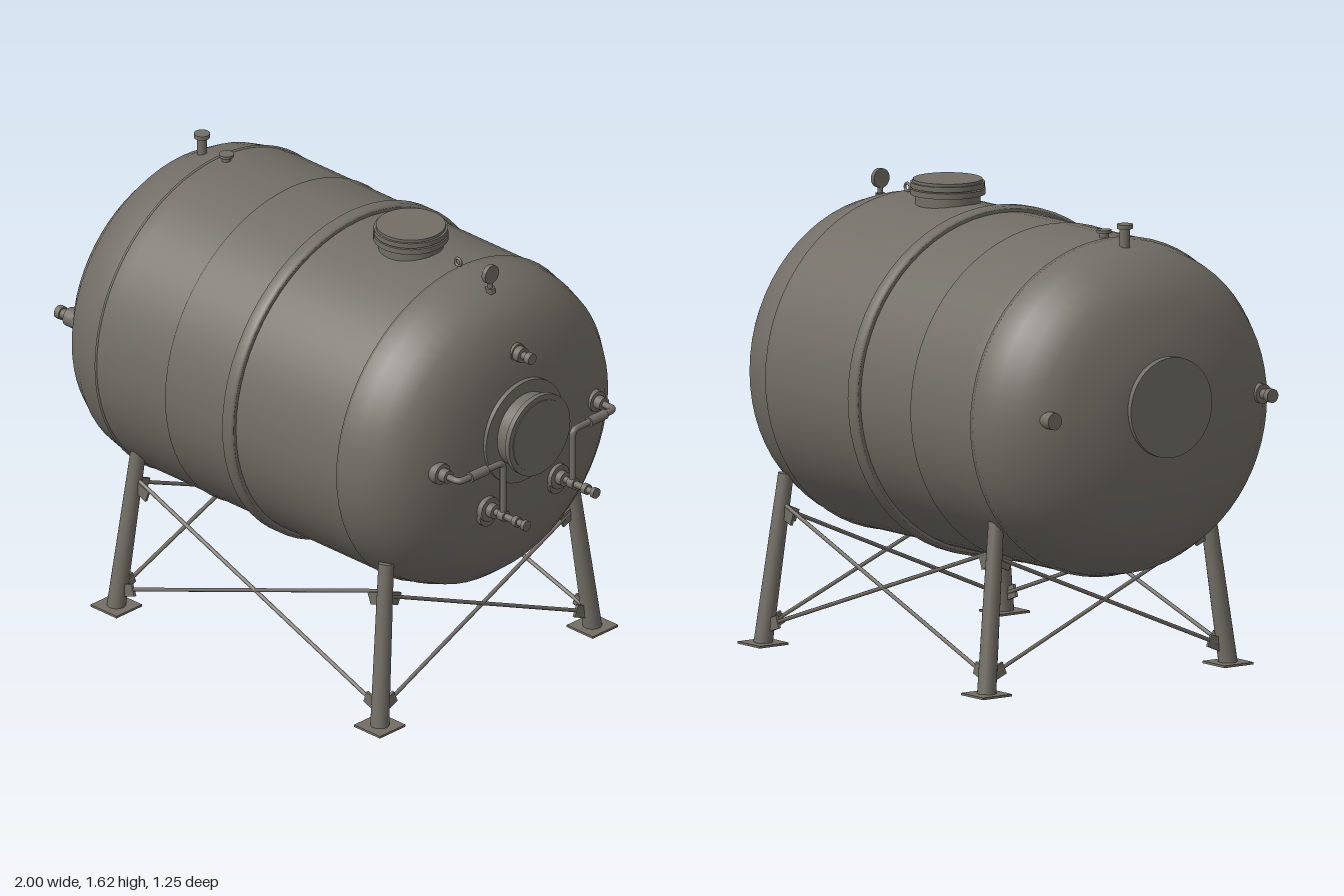
import * as THREE from 'three';

const steel = new THREE.MeshStandardMaterial({ color: 0x726e66 });
steel.name = 'weathered steel';

const V = (x, y, z) => new THREE.Vector3(x, y, z);
const AXIS_Y = 0.955;

export function createModel() {
  const root = new THREE.Group();
  root.name = 'storageTank';

  const add = (name, geometry, parent = root) => {
    const mesh = new THREE.Mesh(geometry, steel);
    mesh.name = name;
    parent.add(mesh);
    return mesh;
  };

  // Round bar between two points
  const bar = (name, a, b, r0, r1 = r0, sides = 16, parent = root) => {
    const dir = b.clone().sub(a);
    const mesh = add(name, new THREE.CylinderGeometry(r1, r0, dir.length(), sides), parent);
    mesh.position.copy(a).add(b).multiplyScalar(0.5);
    mesh.quaternion.setFromUnitVectors(V(0, 1, 0), dir.normalize());
    return mesh;
  };

  // Row of [start, end, radius] discs along x or y, for ports and flanges
  const stack = (name, axis, origin, steps, sides = 20) => {
    const group = new THREE.Group();
    group.name = name;
    steps.forEach(([s, e, r], i) => {
      bar(`${name}Section${i + 1}`, origin.clone().addScaledVector(axis, s),
        origin.clone().addScaledVector(axis, e), r, r, sides, group);
    });
    root.add(group);
  };

  // Surface of revolution about the tank's long axis, slightly squashed in y
  const turned = (name, points) => {
    const geo = new THREE.LatheGeometry(points.map(([x, r]) => new THREE.Vector2(r, x)), 64);
    geo.rotateZ(-Math.PI / 2).scale(1, 0.975, 1);
    add(name, geo).position.y = AXIS_Y;
  };

  // Tank shell with domed ends
  turned('tankShell', [
    [-0.985, 0], [-0.985, 0.17], [-0.965, 0.28], [-0.93, 0.40], [-0.89, 0.475],
    [-0.83, 0.54], [-0.76, 0.58], [-0.68, 0.598], [-0.60, 0.602], [0, 0.602], [0.50, 0.602],
    [0.58, 0.59], [0.65, 0.567], [0.71, 0.52], [0.75, 0.465], [0.78, 0.39],
    [0.80, 0.30], [0.813, 0.17], [0.818, 0],
  ]);

  // Centre hoop and fine weld seams
  turned('centreHoop', [[-0.028, 0.59], [-0.028, 0.614], [-0.028, 0.614], [-0.022, 0.624],
    [0.017, 0.624], [0.023, 0.614], [0.023, 0.614], [0.023, 0.59]]);
  for (const x of [-0.655, -0.315, 0.51]) {
    turned('weldSeam', [[x - 0.006, 0.596], [x, 0.606], [x + 0.006, 0.596]]);
  }

  // Flat disc on the rear dome
  stack('rearCover', V(1, 0, 0), V(0, 1.0, 0), [[-1.0, -0.96, 0.175]], 48);

  // Top hatch
  stack('topHatch', V(0, 1, 0), V(0.272, 0, 0),
    [[1.48, 1.59, 0.113], [1.568, 1.588, 0.13], [1.592, 1.61, 0.128], [1.61, 1.62, 0.12]], 40);

  // End manway: pad, neck, rim and cover
  stack('manwayPad', V(1, 0, 0), V(0, 1.02, 0), [[0.78, 0.822, 0.19]], 48);
  stack('manway', V(1, 0, 0), V(0, 1.03, 0), [[0.80, 0.88, 0.135], [0.874, 0.893, 0.15], [0.893, 0.896, 0.13]], 40);

  // Small ports
  stack('upperValve', V(1, 0, 0), V(0, 1.31, 0),
    [[0.75, 0.79, 0.034], [0.79, 0.815, 0.028], [0.81, 0.84, 0.014], [0.835, 0.858, 0.02]]);
  stack('ventPipe', V(0, 1, 0), V(-0.735, 0, 0), [[1.50, 1.60, 0.018], [1.588, 1.603, 0.028]]);
  stack('ventCap', V(0, 1, 0), V(-0.617, 0, 0), [[1.52, 1.56, 0.016], [1.557, 1.567, 0.026]]);
  stack('rearPort', V(1, 0, 0), V(0, 0.99, 0.45),
    [[-0.93, -0.88, 0.034], [-0.965, -0.92, 0.018], [-0.982, -0.96, 0.024]]);
  stack('rearPlug', V(1, 0, 0), V(0, 0.99, -0.45), [[-0.932, -0.86, 0.03]]);

  // Lifting eye and pressure gauge on top
  const eye = add('liftingEye', new THREE.TorusGeometry(0.014, 0.005, 8, 20));
  eye.position.set(0.5, 1.557, 0);
  bar('gaugeStem', V(0.655, 1.49, 0), V(0.655, 1.55, 0), 0.009);
  bar('gaugeNut', V(0.655, 1.495, 0), V(0.655, 1.515, 0), 0.018, 0.018, 6);
  bar('gaugeDial', V(0.647, 1.567, 0), V(0.664, 1.567, 0), 0.034, 0.034, 28);

  // Mirrored level pipes with drain outlets
  for (const s of [1, -1]) {
    const path = new THREE.CurvePath();
    const p = [V(0.79, 0.985, s * 0.38), V(0.88, 0.985, s * 0.38), V(0.885, 0.985, s * 0.17), V(0.885, 0.78, s * 0.17)];
    const corner = (i, k) => p[i].clone().add(p[k].clone().sub(p[i]).setLength(0.022));
    path.add(new THREE.LineCurve3(p[0], corner(1, 0)));
    path.add(new THREE.QuadraticBezierCurve3(corner(1, 0), p[1], corner(1, 2)));
    path.add(new THREE.LineCurve3(corner(1, 2), corner(2, 1)));
    path.add(new THREE.QuadraticBezierCurve3(corner(2, 1), p[2], corner(2, 3)));
    path.add(new THREE.LineCurve3(corner(2, 3), p[3]));
    add('levelPipe', new THREE.TubeGeometry(path, 64, 0.012, 10));
    bar('pipeCoupling', V(0.882, 0.985, s * 0.33), V(0.883, 0.985, s * 0.25), 0.018);
    stack('pipeInlet', V(1, 0, 0), V(0, 0.985, s * 0.38), [[0.74, 0.80, 0.038], [0.80, 0.83, 0.024]]);
    stack('drainOutlet', V(1, 0, 0), V(0, 0.78, s * 0.17),
      [[0.76, 0.825, 0.045], [0.82, 0.85, 0.026], [0.84, 0.99, 0.012],
        [0.872, 0.90, 0.02], [0.94, 0.96, 0.019], [0.985, 1.0, 0.019]]);
    // Lower pad edge below each outlet
    stack('outletPad', V(1, 0, 0), V(0, 0.755, s * 0.17), [[0.76, 0.815, 0.042]]);
  }

  // Splayed legs with foot plates and brace lugs
  for (const sx of [1, -1]) {
    for (const sz of [1, -1]) {
      const foot = V(sx * 0.635, 0.005, sz * 0.52);
      const top = V(sx * 0.597, 0.595, sz * 0.45);
      bar('leg', foot, top, 0.033, 0.027, 20);
      add('footPlate', new THREE.BoxGeometry(0.125, 0.008, 0.125)).position.set(sx * 0.635, 0.004, sz * 0.52);
      for (const y of [0.075, 0.455]) {
        const at = foot.clone().lerp(top, y / 0.595);
        const lugX = add('braceLugX', new THREE.BoxGeometry(0.075, 0.045, 0.01));
        lugX.position.set(at.x - sx * 0.035, y, at.z);
        lugX.rotation.z = -sx * (y < 0.2 ? 0.35 : -0.35);
        const lugZ = add('braceLugZ', new THREE.BoxGeometry(0.01, 0.045, 0.075));
        lugZ.position.set(at.x, y, at.z - sz * 0.035);
        lugZ.rotation.x = sz * (y < 0.2 ? 0.4 : -0.4);
      }
    }
  }

  // Crossed tie rods between neighbouring legs
  for (const s of [1, -1]) {
    for (const d of [1, -1]) {
      bar('longTieRod', V(-d * 0.60, 0.075, s * 0.51), V(d * 0.58, 0.485, s * 0.463), 0.007, 0.007, 8);
      bar('shortTieRod', V(s * 0.63, 0.075, -d * 0.48), V(s * 0.606, 0.465, d * 0.44), 0.007, 0.007, 8);
    }
  }

  return root;
}
